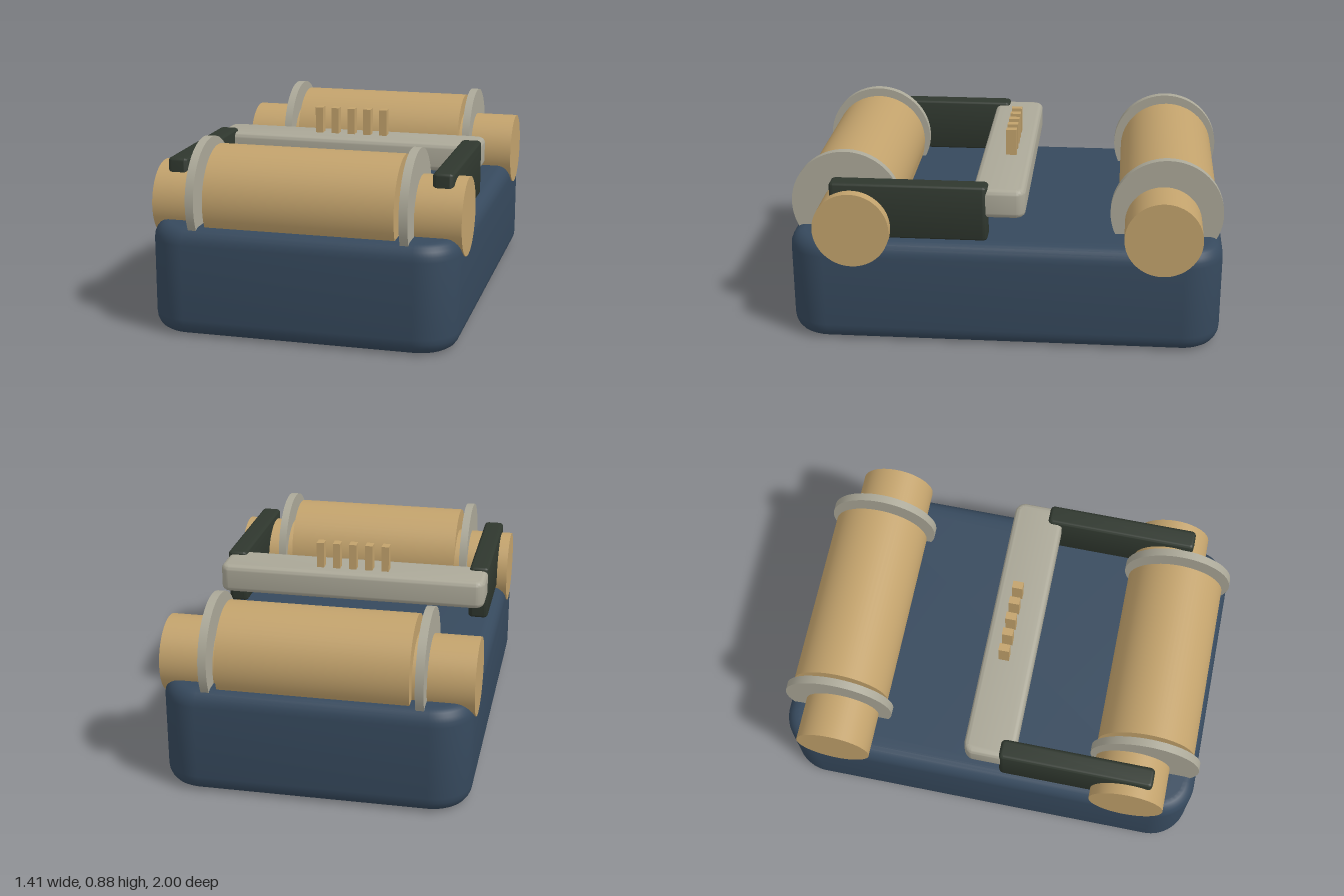
import * as THREE from 'three';
import { toCreasedNormals } from 'three/addons/utils/BufferGeometryUtils.js';

const material = (name, color) => {
  const m = new THREE.MeshStandardMaterial({ color });
  m.name = name;
  return m;
};

// Upright block with rounded corners (radius) and softened top and bottom edges
function softBlock(w, h, d, radius, bevel, bevelHeight = bevel) {
  const x = w / 2 - bevel, y = d / 2 - bevel, r = Math.max(radius - bevel, 0.004);
  const s = new THREE.Shape();
  s.absarc(x - r, y - r, r, 0, Math.PI / 2);
  s.absarc(-x + r, y - r, r, Math.PI / 2, Math.PI);
  s.absarc(-x + r, -y + r, r, Math.PI, Math.PI * 1.5);
  s.absarc(x - r, -y + r, r, Math.PI * 1.5, Math.PI * 2);
  s.closePath();
  const g = new THREE.ExtrudeGeometry(s, {
    depth: h - 2 * bevelHeight, bevelEnabled: true, bevelSize: bevel,
    bevelThickness: bevelHeight, bevelSegments: 5, curveSegments: 8,
  });
  g.rotateX(-Math.PI / 2);
  g.translate(0, bevelHeight - h / 2, 0);
  return toCreasedNormals(g, Math.PI / 4);
}

// Cylinder lying along x
function roller(radius, length) {
  return new THREE.CylinderGeometry(radius, radius, length, 64).rotateZ(Math.PI / 2);
}

export function createModel() {
  const model = new THREE.Group();
  model.name = 'rollerMachine';
  const navy = material('navy', 0x36495d);
  const tan = material('tan', 0xc2a26c);
  const gray = material('warmGray', 0xaba898);
  const dark = material('darkGreen', 0x2f372e);

  const add = (parent, name, geometry, mat, x, y, z) => {
    const mesh = new THREE.Mesh(geometry, mat);
    mesh.name = name;
    mesh.position.set(x, y, z);
    parent.add(mesh);
  };

  // Body
  add(model, 'base', softBlock(1.4, 0.495, 2, 0.18, 0.06, 0.075), navy, 0, 0.2475, 0);

  // Front and rear rollers: through shaft, thick drum and two flanges
  const rollers = [
    { name: 'frontRoller', shaftZ: 0.688, drumZ: 0.735, drumR: 0.23, flangeZ: 0.74 },
    { name: 'rearRoller', shaftZ: -0.725, drumZ: -0.745, drumR: 0.228, flangeZ: -0.74 },
  ];
  for (const r of rollers) {
    const group = new THREE.Group();
    group.name = r.name;
    add(group, 'shaft', roller(0.176, 1.41), tan, 0, 0.557, r.shaftZ);
    add(group, 'drum', roller(r.drumR, 0.86), tan, 0, 0.598, r.drumZ);
    for (const side of [-1, 1]) {
      add(group, 'flange', roller(0.258, 0.038), gray, side * 0.478, 0.602, r.flangeZ);
    }
    model.add(group);
  }

  // Carriage: cross bar, side arms and a row of pegs
  const carriage = new THREE.Group();
  carriage.name = 'carriage';
  add(carriage, 'crossBar', softBlock(1.3, 0.135, 0.24, 0.05, 0.025), gray, 0, 0.6825, 0.02);
  for (const side of [-1, 1]) {
    add(carriage, 'sideArm', softBlock(0.096, 0.26, 0.72, 0.022, 0.016), dark, side * 0.607, 0.634, 0.43);
  }
  for (let i = -2; i <= 2; i++) {
    add(carriage, 'peg', new THREE.BoxGeometry(0.036, 0.175, 0.05), tan, i * 0.08, 0.7875, 0);
  }
  model.add(carriage);

  return model;
}
